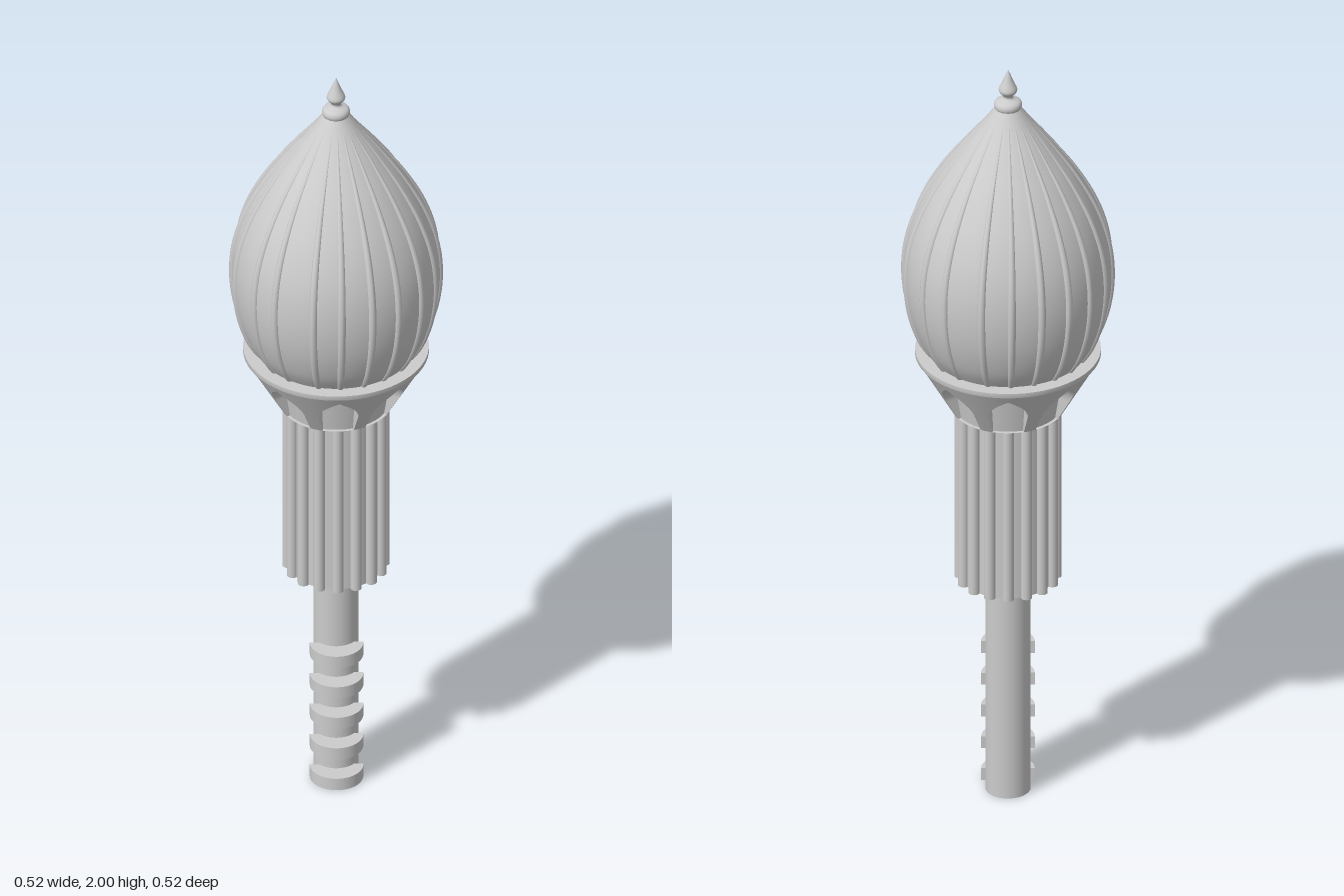
import * as THREE from 'three';
import { ParametricGeometry } from 'three/addons/geometries/ParametricGeometry.js';

const grey = new THREE.MeshStandardMaterial({ color: 0xcccccc });
const greyDouble = new THREE.MeshStandardMaterial({ color: 0xcccccc, side: THREE.DoubleSide });
const lerp = THREE.MathUtils.lerp;
const V = (x, y) => new THREE.Vector2(x, y);

export function createModel() {
  const model = new THREE.Group();
  const add = (name, geometry, parent = model, material = grey) => {
    const mesh = new THREE.Mesh(geometry, material);
    mesh.name = name;
    parent.add(mesh);
    return mesh;
  };
  const group = (name) => {
    const g = new THREE.Group();
    g.name = name;
    model.add(g);
    return g;
  };
  const cylinder = (name, r, y0, y1, parent, sides = 32) => {
    const m = add(name, new THREE.CylinderGeometry(r, r, y1 - y0, sides), parent);
    m.position.y = (y0 + y1) / 2;
    return m;
  };

  // Key shaft
  cylinder('shaft', 0.055, 0, 0.6, model);

  // Half-disc teeth on the front of the shaft
  const teeth = group('teeth');
  const half = new THREE.Shape();
  half.moveTo(0.065, 0);
  half.absarc(0, 0, 0.065, 0, Math.PI, false);
  half.closePath();
  const toothGeo = new THREE.ExtrudeGeometry(half, { depth: 0.033, bevelEnabled: false, curveSegments: 24 });
  toothGeo.rotateX(Math.PI / 2); // shape y becomes z, depth goes down
  for (let i = 0; i < 5; i++) {
    add('tooth', toothGeo, teeth).position.set(0, 0.033 + i * 0.0885, 0.036);
  }

  // Reeded column
  const column = group('column');
  cylinder('columnCore', 0.112, 0.59, 1.07, column, 48);
  const REEDS = 16;
  for (let i = 0; i < REEDS; i++) {
    const a = (i / REEDS) * Math.PI * 2;
    const reed = cylinder('columnReed', 0.014, 0.59, 1.07, column, 14);
    reed.position.x = 0.116 * Math.sin(a);
    reed.position.z = 0.116 * Math.cos(a);
  }

  // Flared collar with pointed niches
  const collar = group('collar');
  const BAYS = 8, bay = Math.PI / BAYS, y0 = 1.065, y1 = 1.212;
  const outerR = (v) => lerp(0.138, 0.222, v);
  const innerR = (v) => lerp(0.13, 0.155, v);
  const archHalf = (v) => {
    const t = THREE.MathUtils.clamp((v - 0.38) / 0.48, 0, 1);
    return 0.28 * (1 - t * t);
  };
  const polar = (p, r, a, v) => p.set(r * Math.sin(a), lerp(y0, y1, v), r * Math.cos(a));
  const flank = (s) => new ParametricGeometry((u, v, p) => {
    const w = archHalf(v);
    polar(p, outerR(v), s > 0 ? lerp(w, bay, u) : lerp(-bay, -w, u), v);
  }, 8, 50);
  const jamb = (s) => new ParametricGeometry((u, v, p) => {
    const t = v * 0.86;
    polar(p, lerp(innerR(t), outerR(t), u), s * archHalf(t), t);
  }, 2, 43);
  const back = new ParametricGeometry((u, v, p) => {
    const t = v * 0.86;
    polar(p, innerR(t), lerp(-1, 1, u) * archHalf(t), t);
  }, 8, 43);
  const pieces = [
    ['collarFace', flank(1)], ['collarFace', flank(-1)],
    ['nicheSide', jamb(1)], ['nicheSide', jamb(-1)], ['nicheBack', back],
  ];
  for (let i = 0; i < BAYS; i++) {
    for (const [name, geo] of pieces) {
      add(name, geo, collar, greyDouble).rotation.y = i * bay * 2;
    }
  }
  add('collarRim', new THREE.LatheGeometry(
    [V(0.222, y1), V(0.225, y1), V(0.225, 1.224), V(0.225, 1.224), V(0.17, 1.224)], 64), collar, greyDouble);
  add('collarBase', new THREE.LatheGeometry([V(0.1, y0), V(0.138, y0)], 64), collar, greyDouble);

  // Onion dome
  const profile = new THREE.SplineCurve([
    V(0.185, 1.215), V(0.218, 1.27), V(0.243, 1.35), V(0.252, 1.44), V(0.243, 1.53),
    V(0.214, 1.62), V(0.166, 1.71), V(0.11, 1.79), V(0.06, 1.855), V(0.024, 1.905),
  ]);
  add('dome', new THREE.LatheGeometry(profile.getPoints(60), 80));

  // Tapered ribs following the dome
  const ribs = group('domeRibs');
  const ribGeo = new ParametricGeometry((u, v, p) => {
    const c = profile.getPoint(v), t = profile.getTangent(v);
    const r = 0.0015 + 0.0085 * (c.x / 0.252);
    const a = u * Math.PI * 2, out = r * Math.cos(a) - 0.003;
    p.set(r * Math.sin(a), c.y - t.x * out, c.x + t.y * out);
  }, 10, 48);
  const ribAngles = [-2, 15, 38, 55, 78, 93.5, 110, 127, 145, 161.5,
    179, 195, 218.5, 234, 257.5, 273.5, 291, 308, 324, 341];
  for (const deg of ribAngles) {
    add('domeRib', ribGeo, ribs).rotation.y = Math.PI - THREE.MathUtils.degToRad(deg);
  }

  // Finial: ring, neck, knob and spike
  const finial = new THREE.SplineCurve([
    V(0.022, 1.885), V(0.032, 1.895), V(0.034, 1.905), V(0.029, 1.914), V(0.014, 1.921),
    V(0.013, 1.929), V(0.021, 1.939), V(0.022, 1.948), V(0.014, 1.966), V(0.007, 1.984), V(0.0001, 2),
  ]);
  add('finial', new THREE.LatheGeometry(finial.getPoints(44), 32));

  return model;
}
